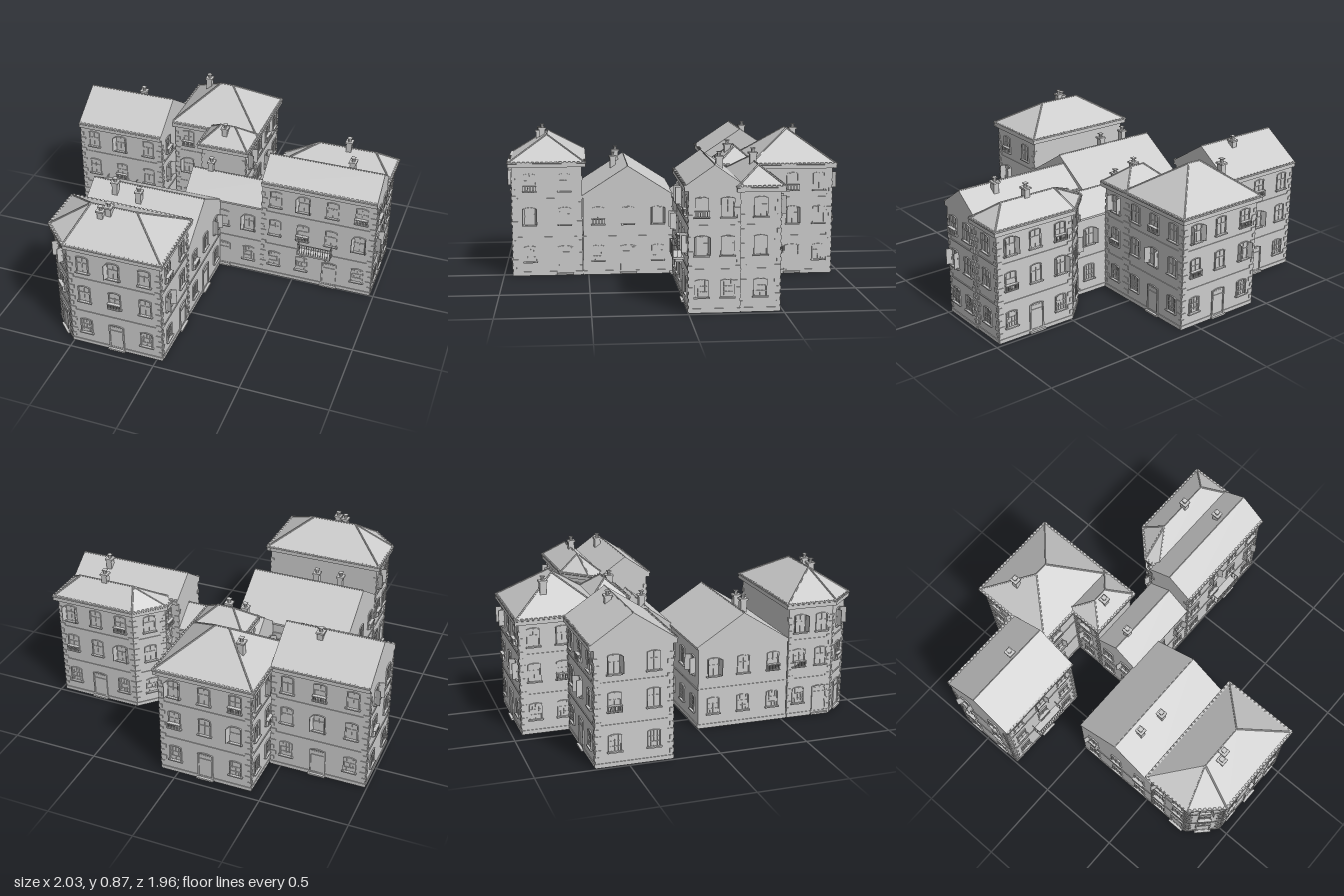
import * as THREE from 'three';
import { mergeGeometries } from 'three/addons/utils/BufferGeometryUtils.js';

const material = new THREE.MeshStandardMaterial({ color: 0xcccccc, flatShading: true, side: THREE.DoubleSide });
const V = (x, y, z) => new THREE.Vector3(x, y, z);

// Footprint running front-left, front-right, back-right, back-left; one corner may be cut off
function footprint(x0, z0, x1, z1, corner, cut) {
  const p = [[x0, z1], [x1, z1], [x1, z0], [x0, z0]];
  if (corner === 'frontLeft') p.splice(0, 1, [x0, z1 - cut], [x0 + cut, z1]);
  if (corner === 'backLeft') p.splice(3, 1, [x0 + cut, z0], [x0, z0 + cut]);
  return p;
}

// House with a gable at its left and right ends
function gableHouse(name, [x0, z0, x1, z1], eave, top, extras) {
  const over = eave > 0.6 ? 0.022 : 0.008, mid = (z0 + z1) / 2;
  return { name, eave, top, gable: true, walls: footprint(x0, z0, x1, z1),
    roof: footprint(x0, z0 - over, x1, z1 + over), ridge: [[x0, mid], [x1, mid]], ...extras };
}

// House with a hipped roof; the ridge is inset from the left and right walls
function hipHouse(name, [x0, z0, x1, z1], eave, top, [left, right], { corner, cut, ...extras }) {
  const over = 0.022, mid = (z0 + z1) / 2;
  return { name, eave, top, gable: false, walls: footprint(x0, z0, x1, z1, corner, cut),
    roof: footprint(x0 - over, z0 - over, x1 + over, z1 + over, corner, cut + 0.01),
    ridge: [[x0 + left, mid], [x1 - right, mid]], ...extras };
}

// doors are wall indices; chimneys are [x, z, top]
const blocks = [
  gableHouse('backLeftHouse', [-0.988, -0.68, -0.44, -0.26], 0.66, 0.815,
    { doors: [0, 2], chimneys: [[-0.65, -0.51, 0.845]], balcony: [-0.71, -0.26] }),
  hipHouse('backTower', [-0.43, -0.945, 0.10, -0.47], 0.66, 0.85, [0.22, 0.23],
    { doors: [1, 2], chimneys: [[-0.31, -0.78, 0.86]] }),
  hipHouse('smallTower', [-0.18, -0.47, 0.10, -0.275], 0.66, 0.76, [0.09, 0.10],
    { doors: [], chimneys: [[-0.05, -0.335, 0.79]] }),
  gableHouse('connectingWing', [-0.185, -0.27, 0.30, 0], 0.475, 0.58,
    { doors: [0], chimneys: [[-0.07, -0.145, 0.66]] }),
  gableHouse('rightHouse', [0.295, -0.27, 0.977, 0], 0.665, 0.775,
    { doors: [0], chimneys: [[0.78, -0.18, 0.82]], balcony: [0.635, 0] }),
  hipHouse('rightBackHouse', [0.35, -0.48, 0.97, -0.27], 0.66, 0.76, [0.18, 0.10],
    { doors: [2], chimneys: [[0.71, -0.37, 0.83]], corner: 'backLeft', cut: 0.14 }),
  gableHouse('frontWing', [-0.65, 0, 0.037, 0.53], 0.475, 0.65,
    { doors: [1], chimneys: [[-0.49, 0.32, 0.71], [-0.335, 0.34, 0.69]] }),
  hipHouse('frontTower', [-0.65, 0.535, 0.035, 0.945], 0.675, 0.82, [0.21, 0.205],
    { doors: [0, 1, 2, 4], chimneys: [[-0.36, 0.79, 0.85], [-0.32, 0.77, 0.87]], corner: 'frontLeft', cut: 0.145 }),
];

// Gathers pieces by part name and merges each list into one mesh
function makeCollector() {
  const parts = {};
  const add = (name, geometry, matrix) => {
    const g = geometry.index ? geometry.toNonIndexed() : geometry.clone();
    g.deleteAttribute('uv');
    if (matrix) g.applyMatrix4(matrix);
    (parts[name] ??= []).push(g);
  };
  const build = (groupName) => {
    const group = new THREE.Group();
    group.name = groupName;
    for (const [name, list] of Object.entries(parts)) {
      const mesh = new THREE.Mesh(mergeGeometries(list), material);
      mesh.name = name;
      group.add(mesh);
    }
    return group;
  };
  return { add, build };
}

const box = (w, h, d, x = 0, y = 0, z = 0) => new THREE.BoxGeometry(w, h, d).translate(x, y, z);

function polygon(...p) {
  const pts = p.length === 4 ? [p[0], p[1], p[2], p[0], p[2], p[3]] : p;
  const g = new THREE.BufferGeometry().setFromPoints(pts);
  g.computeVertexNormals();
  return g;
}

function rod(a, b, r) {
  const d = b.clone().sub(a), mid = a.clone().lerp(b, 0.5);
  const q = new THREE.Quaternion().setFromUnitVectors(V(0, 1, 0), d.clone().normalize());
  return new THREE.CylinderGeometry(r, r, d.length(), 6).applyQuaternion(q).translate(mid.x, mid.y, mid.z);
}

// Edge frame: x along the edge, y up, z outward
function edgeFrame([ax, az], [bx, bz]) {
  const length = Math.hypot(bx - ax, bz - az);
  const u = V((bx - ax) / length, 0, (bz - az) / length), n = V(-u.z, 0, u.x);
  const at = (s, y) => new THREE.Matrix4().makeBasis(u, V(0, 1, 0), n).setPosition(ax + u.x * s, y, az + u.z * s);
  return { length, at };
}

// True where a wall spot is buried in a neighbouring house
function isBuried(self, m, y) {
  const p = V(0, 0, 0.02).applyMatrix4(m);
  return blocks.some((b) => {
    if (b === self || y > b.eave + 0.08) return false;
    const xs = b.walls.map((w) => w[0]), zs = b.walls.map((w) => w[1]);
    return p.x > Math.min(...xs) && p.x < Math.max(...xs) && p.z > Math.min(...zs) && p.z < Math.max(...zs);
  });
}

// Surround with a slightly arched head; origin at the bottom centre
function surround(w, h, border) {
  const outline = (s, k) => {
    s.moveTo(-k, 0); s.lineTo(k, 0); s.lineTo(k, h - border);
    s.quadraticCurveTo(0, h + 0.008 - (w / 2 - k), -k, h - border);
    return s;
  };
  const shape = outline(new THREE.Shape(), w / 2);
  shape.holes.push(outline(new THREE.Path(), w / 2 - border));
  return new THREE.ExtrudeGeometry(shape, { depth: 0.007, bevelEnabled: false, curveSegments: 4 });
}

function addWindow(add, m, row, seed) {
  const w = 0.072, h = row ? 0.105 : 0.095;
  add('windowFrames', surround(w, h, 0.007), m);
  add('windowPanes', box(w - 0.012, h - 0.012, 0.003, 0, h / 2, 0), m);
  add('windowSills', box(w + 0.012, 0.007, 0.016, 0, -0.003, 0.006), m);
  add('windowBars', box(0.004, h - 0.01, 0.004, 0, h / 2, 0.003), m);
  add('windowBars', box(w - 0.01, 0.004, 0.004, 0, h * 0.6, 0.003), m);
  if (row === 0) { // ground floor grille
    for (const x of [-0.018, 0.018]) add('windowBars', box(0.003, h - 0.01, 0.004, x, h / 2, 0.004), m);
    add('windowBars', box(w - 0.01, 0.003, 0.004, 0, h * 0.3, 0.004), m);
  } else if (seed % 4 === 1) { // railing in front of the window
    for (const y of [0, 0.032]) add('windowRailings', box(w + 0.006, 0.004, 0.02, 0, y, 0.012), m);
    for (let i = -4; i <= 4; i++) add('windowRailings', box(0.003, 0.032, 0.003, i * 0.009, 0.016, 0.02), m);
  } else if (seed % 4 === 3) { // half-open shutters
    for (const s of [-1, 1])
      add('shutters', box(0.032, h - 0.012, 0.004, -s * 0.016, 0, 0).rotateY(s * 1.9).translate(s * 0.032, h / 2, 0.004), m);
  }
}

function addDoor(add, m) {
  add('doorFrames', surround(0.09, 0.165, 0.008), m);
  add('doorLeaves', box(0.076, 0.15, 0.003, 0, 0.075, 0), m);
  add('doorBars', box(0.076, 0.004, 0.004, 0, 0.125, 0.003), m);
  add('doorSteps', box(0.1, 0.01, 0.025, 0, -0.004, 0.006), m);
}

function addBalcony(add, x, z) {
  const m = new THREE.Matrix4().setPosition(x, 0.24, z);
  const piece = (...size) => add('balcony', box(...size), m);
  piece(0.2, 0.01, 0.06, 0, 0, 0.03);
  piece(0.2, 0.005, 0.004, 0, 0.07, 0.058);
  for (const s of [-1, 1]) {
    piece(0.012, 0.02, 0.045, s * 0.07, -0.015, 0.022);
    piece(0.004, 0.005, 0.06, s * 0.098, 0.07, 0.03);
    for (const d of [0.015, 0.035]) piece(0.003, 0.07, 0.003, s * 0.098, 0.035, d);
  }
  for (let i = 0; i <= 14; i++) piece(0.003, 0.07, 0.003, -0.098 + i * 0.014, 0.035, 0.058);
}

function addFacade(add, block, i, blockIndex) {
  const { walls, eave, doors } = block, a = walls[i], b = walls[(i + 1) % walls.length];
  const { length, at } = edgeFrame(a, b);
  add('walls', polygon(V(a[0], 0, a[1]), V(b[0], 0, b[1]), V(b[0], eave, b[1]), V(a[0], eave, a[1])));
  // string courses and plinth
  for (const y of [0.23, 0.46]) if (y < eave - 0.1) add('stringCourses', box(length, 0.008, 0.008), at(length / 2, y));
  add('plinth', box(length, 0.02, 0.008), at(length / 2, 0.015));
  // openings
  const n = Math.max(1, Math.round(length / 0.17));
  for (let k = 0; k < n; k++) {
    const s = length * (k + 0.5) / n;
    [0.085, 0.305, 0.505].forEach((y, row) => {
      const m = at(s, y);
      if (y + 0.12 > eave || isBuried(block, m, y)) return;
      if (row === 0 && doors.includes(i) && k === Math.floor(n / 2)) addDoor(add, at(s, 0.015));
      else addWindow(add, m, row, k * 3 + row * 2 + i + blockIndex);
    });
  }
  // alternating corner stones
  if (eave < 0.6) return;
  for (const end of [0, 1]) for (let k = 0; k < 15; k++) {
    const w = k % 2 ? 0.032 : 0.02, y = 0.05 + k * 0.038, m = at(end ? length - w / 2 : w / 2, y);
    if (!isBuried(block, m, y)) add('cornerStones', box(w, 0.022, 0.008), m);
  }
}

function addRoof(add, { roof, eave, ridge, top, gable }) {
  const ends = ridge.map(([x, z]) => V(x, top, z));
  const nearestEnd = ([x]) => ends[x > (ends[0].x + ends[1].x) / 2 ? 1 : 0];
  roof.forEach((a, i) => {
    const b = roof[(i + 1) % roof.length], ra = nearestEnd(a), rb = nearestEnd(b);
    const p = V(a[0], eave, a[1]), q = V(b[0], eave, b[1]);
    const isGableEnd = gable && ra === rb;
    add(isGableEnd ? 'gableWalls' : 'roof', ra === rb ? polygon(p, q, ra) : polygon(p, q, rb, ra));
    if (!gable) add('hipTiles', rod(p, ra, 0.005));
    if (isGableEnd) return;
    // cornice, gutter and tile ends along the eaves
    const { length, at } = edgeFrame(a, b);
    const h = eave > 0.6 ? 0.026 : 0.012;
    add('cornice', box(length, h, 0.022, 0, -h / 2, -0.0115), at(length / 2, eave));
    if (eave < 0.6) return;
    add('gutter', rod(p, q, 0.005));
    const n = Math.round(length / 0.026);
    for (let k = 0; k < n; k++) add('eaveTiles', box(0.015, 0.009, 0.02, 0, 0.003, -0.006), at(length * (k + 0.5) / n, eave));
  });
  add('ridgeTiles', rod(ends[0], ends[1], 0.004));
}

function addChimney(add, [x, z, top], eave) {
  const base = eave + 0.01, h = top - 0.03 - base;
  add('chimneys', box(0.032, h, 0.036, x, base + h / 2, z));
  add('chimneys', box(0.044, 0.01, 0.048, x, top - 0.028, z));
  add('chimneyPots', new THREE.CylinderGeometry(0.008, 0.011, 0.022, 8).translate(x, top - 0.013, z));
  add('chimneyPots', box(0.026, 0.004, 0.026, x, top - 0.002, z));
}

export function createModel() {
  const model = new THREE.Group();
  model.name = 'houseCluster';
  blocks.forEach((block, index) => {
    const { add, build } = makeCollector();
    block.walls.forEach((_, i) => addFacade(add, block, i, index));
    addRoof(add, block);
    block.chimneys.forEach((c) => addChimney(add, c, block.eave));
    if (block.balcony) addBalcony(add, ...block.balcony);
    model.add(build(block.name));
  });
  return model;
}
